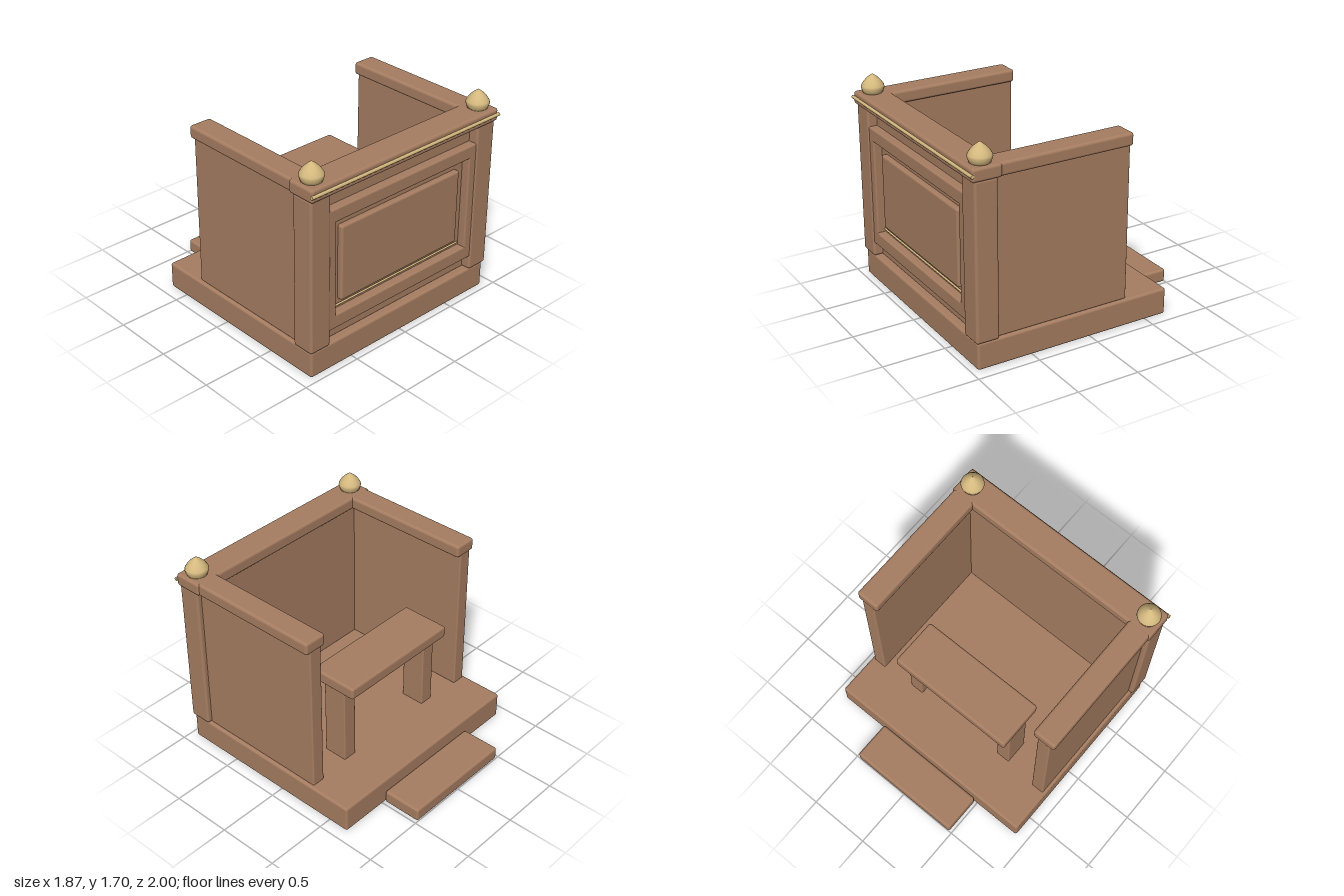
import * as THREE from 'three';
import { RoundedBoxGeometry } from 'three/addons/geometries/RoundedBoxGeometry.js';

export function createModel() {
  const model = new THREE.Group();
  model.name = 'panelledBooth';

  const wood = new THREE.MeshStandardMaterial({ color: 0xa67d61 });
  wood.name = 'wood';
  const gold = new THREE.MeshStandardMaterial({ color: 0xd4b87e });
  gold.name = 'gold';

  const add = (name, geometry, material) => {
    const mesh = new THREE.Mesh(geometry, material);
    mesh.name = name;
    model.add(mesh);
    return mesh;
  };

  // Softly rounded block given by its limits on each axis
  const block = (name, [x0, x1], [y0, y1], [z0, z1], radius = 0.02) => {
    const geometry = new RoundedBoxGeometry(x1 - x0, y1 - y0, z1 - z0, 3, radius);
    const mesh = add(name, geometry, wood);
    mesh.position.set((x0 + x1) / 2, (y0 + y1) / 2, (z0 + z1) / 2);
  };

  // Thin round strip running along x
  const strip = (name, length, radius, y, z) => {
    const geometry = new THREE.CylinderGeometry(radius, radius, length, 12);
    geometry.rotateZ(Math.PI / 2);
    add(name, geometry, gold).position.set(0, y, z);
  };

  // Platform and rear step
  block('platform', [-0.905, 0.905], [0, 0.217], [-0.68, 0.95]);
  block('rearStep', [-0.478, 0.478], [0, 0.11], [-1, -0.68]);

  // Front wall, raised panel and top rail
  block('frontWall', [-0.8, 0.8], [0.215, 1.46], [0.77, 0.887], 0.01);
  block('raisedPanel', [-0.598, 0.598], [0.515, 1.125], [0.87, 0.93], 0.018);
  block('frontRail', [-0.93, 0.93], [1.447, 1.55], [0.75, 0.985], 0.022);

  // Picture-frame moulding around the raised panel
  const frame = new THREE.Shape([
    new THREE.Vector2(-0.75, 0.33), new THREE.Vector2(0.75, 0.33),
    new THREE.Vector2(0.75, 1.31), new THREE.Vector2(-0.75, 1.31),
  ]);
  frame.holes.push(new THREE.Path([
    new THREE.Vector2(-0.672, 0.443), new THREE.Vector2(-0.672, 1.203),
    new THREE.Vector2(0.672, 1.203), new THREE.Vector2(0.672, 0.443),
  ]));
  const frameGeometry = new THREE.ExtrudeGeometry(frame, {
    depth: 0.06, bevelEnabled: true, bevelThickness: 0.012,
    bevelSize: 0.012, bevelOffset: -0.012, bevelSegments: 3,
  });
  add('panelFrame', frameGeometry, wood).position.z = 0.883;

  // Gold trim
  strip('railTrim', 1.87, 0.014, 1.5, 0.986);
  strip('panelTrim', 1.28, 0.008, 0.482, 0.905);

  // Seat
  block('seat', [-0.53, 0.53], [0.86, 0.96], [-0.4, 0]);

  // Finial profile from foot to tip
  const profile = [
    [0, 1.545], [0.074, 1.545], [0.083, 1.57], [0.09, 1.592], [0.087, 1.608],
    [0.07, 1.635], [0.048, 1.66], [0.022, 1.682], [0, 1.698],
  ].map(([r, y]) => new THREE.Vector2(r, y));
  const finialGeometry = new THREE.LatheGeometry(profile, 24);

  // Mirrored parts
  for (const [side, s] of [['left', 1], ['right', -1]]) {
    const span = (a, b) => (s > 0 ? [a, b] : [-b, -a]);
    block(`${side}Post`, span(0.735, 0.92), [0.217, 1.455], [0.78, 0.965]);
    block(`${side}Wall`, span(0.77, 0.88), [0.215, 1.46], [-0.327, 0.85], 0.012);
    block(`${side}Rail`, span(0.73, 0.918), [1.447, 1.549], [-0.33, 0.78], 0.022);
    block(`${side}SeatLeg`, span(0.392, 0.51), [0.21, 0.87], [-0.3, -0.1], 0.01);
    add(`${side}Finial`, finialGeometry, gold).position.set(s * 0.826, 0, 0.868);
  }

  return model;
}
